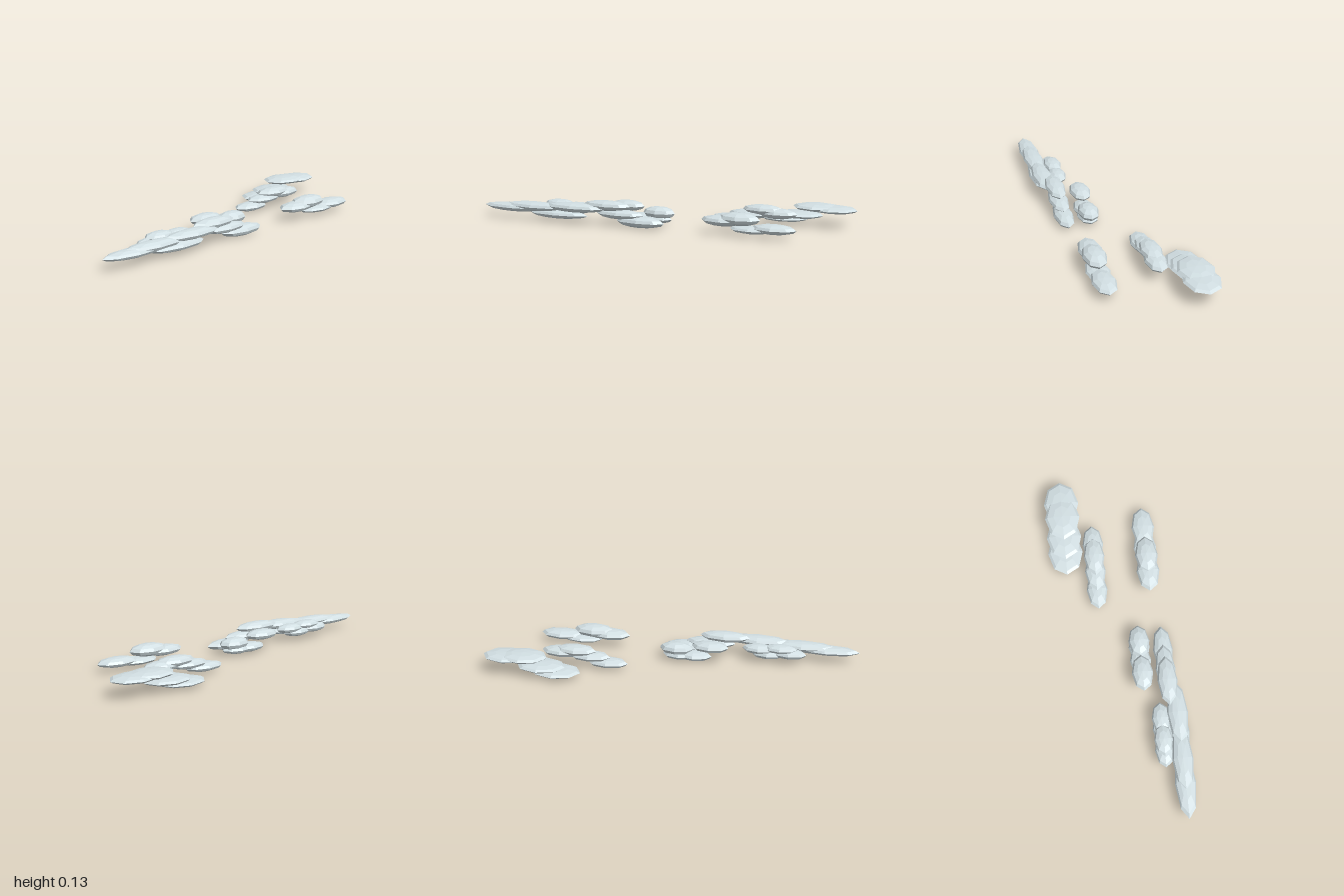
import * as THREE from 'three';

// Each cloud bank: shared z and depth radius, then puffs as [x, y, rx, ry]
const BANKS = [
  { name: 'longFrontCloud', z: 0.28, rz: 0.056, puffs: [
    [-0.81, 0.063, 0.19, 0.024], [-0.68, 0.075, 0.19, 0.026],
    [-0.53, 0.045, 0.18, 0.024], [-0.43, 0.088, 0.18, 0.026]] },
  { name: 'smallLeftCloud', z: 0.19, rz: 0.05, puffs: [
    [-0.62, 0.06, 0.095, 0.026], [-0.57, 0.085, 0.09, 0.024],
    [-0.5, 0.05, 0.09, 0.026], [-0.45, 0.075, 0.09, 0.026]] },
  { name: 'middleFrontCloud', z: 0.245, rz: 0.054, puffs: [
    [-0.25, 0.106, 0.14, 0.028], [-0.17, 0.065, 0.14, 0.026],
    [-0.05, 0.032, 0.14, 0.03]] },
  { name: 'middleCloud', z: 0.117, rz: 0.058, puffs: [
    [-0.19, 0.092, 0.103, 0.029], [-0.1, 0.033, 0.1, 0.026],
    [0, 0.066, 0.093, 0.034], [-0.02, 0.032, 0.095, 0.025]] },
  { name: 'rightFrontCloud', z: 0.21, rz: 0.064, puffs: [
    [0.41, 0.073, 0.12, 0.028], [0.5, 0.088, 0.115, 0.034],
    [0.57, 0.038, 0.12, 0.02], [0.69, 0.05, 0.122, 0.026]] },
  { name: 'rightMiddleCloud', z: -0.082, rz: 0.058, puffs: [
    [0.34, 0.033, 0.113, 0.025], [0.44, 0.062, 0.115, 0.025],
    [0.52, 0.09, 0.115, 0.028], [0.6, 0.075, 0.113, 0.028]] },
  { name: 'rightBackCloud', z: -0.24, rz: 0.098, puffs: [
    [0.585, 0.028, 0.135, 0.019], [0.67, 0.052, 0.135, 0.02],
    [0.77, 0.098, 0.135, 0.021], [0.86, 0.092, 0.135, 0.02]] },
];

export function createModel() {
  const model = new THREE.Group();
  model.name = 'clouds';
  const cloudGrey = new THREE.MeshStandardMaterial({ color: 0xd2dfe3, flatShading: true });
  cloudGrey.name = 'cloudGrey';
  const puffShape = new THREE.SphereGeometry(1, 8, 6);

  // Flattened, overlapping low-poly puffs
  for (const { name, z, rz, puffs } of BANKS) {
    const cloud = new THREE.Group();
    cloud.name = name;
    cloud.position.z = z;
    for (const [x, y, rx, ry] of puffs) {
      const puff = new THREE.Mesh(puffShape, cloudGrey);
      puff.name = 'cloudPuff';
      puff.position.set(x, y, 0);
      puff.scale.set(rx, ry, rz);
      cloud.add(puff);
    }
    model.add(cloud);
  }
  return model;
}
